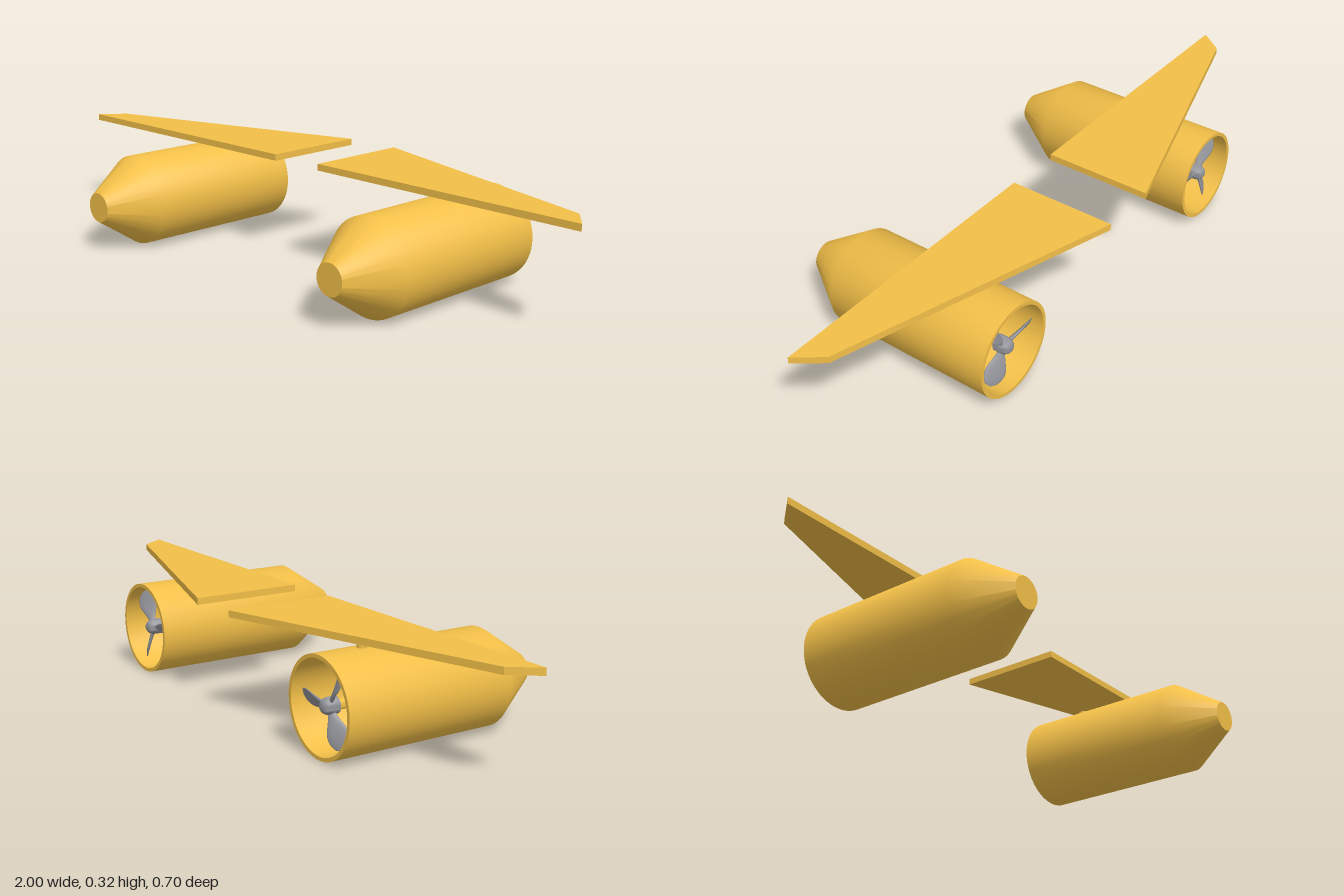
import * as THREE from 'three';
import { toCreasedNormals } from 'three/addons/utils/BufferGeometryUtils.js';

const yellow = new THREE.MeshStandardMaterial({ color: 0xf2bf48 });
const grey = new THREE.MeshStandardMaterial({ color: 0x94959b });
const AXIS_Y = 0.142;

function add(parent, name, geometry, material) {
  const mesh = new THREE.Mesh(geometry, material);
  mesh.name = name;
  parent.add(mesh);
  return mesh;
}

// Surface of revolution about z from [radius, z] pairs
function turned(points, segments = 48) {
  const profile = points.map(([r, z]) => new THREE.Vector2(r, z));
  return toCreasedNormals(new THREE.LatheGeometry(profile, segments).rotateX(Math.PI / 2), 0.7);
}

// Paddle blade along +y: elliptical sections, widening outward and twisted
function bladeGeometry(side) {
  const geo = new THREE.CylinderGeometry(1, 1, 1, 16, 16);
  const pos = geo.attributes.position;
  for (let i = 0; i < pos.count; i++) {
    const t = pos.getY(i) + 0.5;
    const tip = Math.sqrt(Math.max(0, 1 - Math.pow(t, 5)));
    const half = (0.01 + 0.025 * Math.sin(Math.min(1, t * 1.35) * Math.PI / 2) ** 2) * tip + 0.0005;
    const thick = (0.006 - 0.003 * t) * tip + 0.0003;
    const twist = side * (0.8 - 0.4 * t);
    const x = pos.getX(i) * half, z = pos.getZ(i) * thick;
    pos.setXYZ(i,
      x * Math.cos(twist) + z * Math.sin(twist),
      0.012 + 0.11 * t,
      z * Math.cos(twist) - x * Math.sin(twist));
  }
  geo.computeVertexNormals();
  return geo;
}

function makePropeller(side) {
  const propeller = new THREE.Group();
  propeller.name = 'propeller';
  add(propeller, 'hub', turned([
    [0, -0.028], [0.01, -0.026], [0.018, -0.02], [0.023, -0.01], [0.024, 0], [0.024, 0.02], [0, 0.02],
  ], 24), grey);
  const geo = bladeGeometry(side);
  for (let i = 0; i < 3; i++) {
    add(propeller, 'blade', geo, grey).rotation.z = side * (Math.PI / 2 - i * 2 * Math.PI / 3);
  }
  propeller.position.z = -0.29;
  return propeller;
}

function makeThruster(side) {
  const thruster = new THREE.Group();
  thruster.name = side > 0 ? 'leftThruster' : 'rightThruster';

  // Hollow housing, open at the back, with a tapered nose
  add(thruster, 'housing', turned([
    [0, 0.335], [0.037, 0.335], [0.13, 0.197], [0.13, -0.325],
    [0.141, -0.325], [0.141, 0.203], [0.046, 0.35], [0, 0.35],
  ], 64), yellow);

  // Drive shaft inside the housing
  add(thruster, 'driveShaft', turned([
    [0, -0.275], [0.015, -0.275], [0.015, 0.34],
  ], 24), yellow);
  thruster.add(makePropeller(side));

  // Mounting post up to the wing
  const post = add(thruster, 'mountingPost', new THREE.CylinderGeometry(0.014, 0.014, 0.04, 16), yellow);
  post.position.set(0, 0.148, -0.19);

  thruster.position.set(side * 0.5, AXIS_Y, 0);
  return thruster;
}

// Flat wing: straight front edge, swept back edge, clipped tip
function makeWing(side, parent) {
  const outline = [[0.09, -0.017], [1, -0.017], [0.94, -0.095], [0.09, -0.35]];
  const shape = new THREE.Shape(outline.map(([x, z]) => new THREE.Vector2(side * x, z)));
  const geo = new THREE.ExtrudeGeometry(shape, { depth: 0.02, bevelEnabled: false });
  geo.rotateX(Math.PI / 2);
  add(parent, side > 0 ? 'leftWing' : 'rightWing', geo, yellow).position.y = 0.32;
}

export function createModel() {
  const model = new THREE.Group();
  model.name = 'twinThrusterWings';
  for (const side of [1, -1]) {
    model.add(makeThruster(side));
    makeWing(side, model);
  }
  return model;
}
